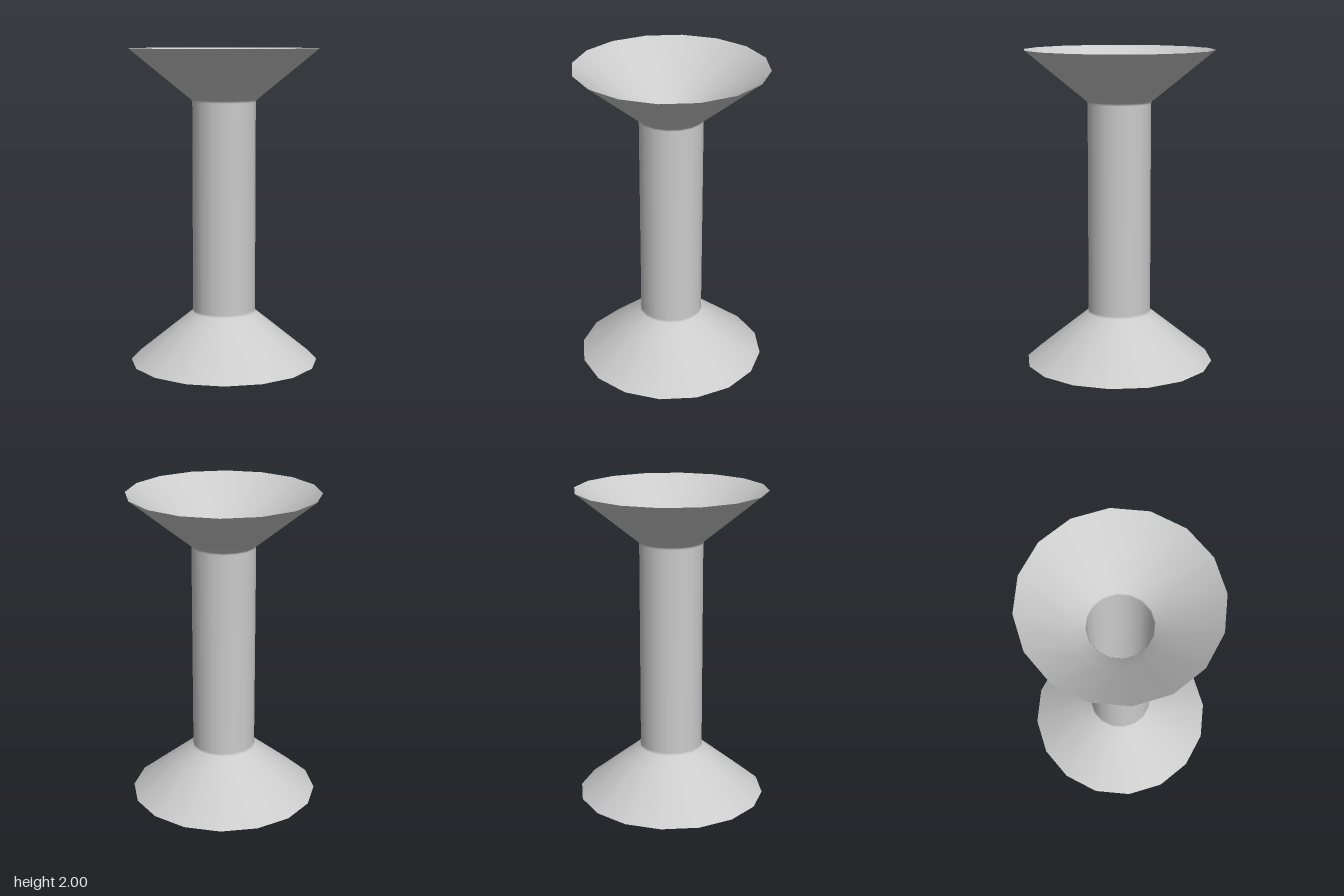
import * as THREE from 'three';

export function createModel() {
  const group = new THREE.Group();
  group.name = 'flaredTube';

  // Lower half of the profile: wide rim, cone, small softened neck
  const half = [[0.6, 0], [0.3, 0.245], [0.207, 0.32], [0.2, 0.335]];
  // Mirror it about mid-height for the upper flare
  const upper = half.map(([r, y]) => [r, 2 - y]).reverse();
  const profile = [...half, ...upper].map(([r, y]) => new THREE.Vector2(r, y));

  // Open, thin 16-sided shell, hollow from end to end
  const material = new THREE.MeshStandardMaterial({ color: 0xcccccc, side: THREE.DoubleSide });
  const shell = new THREE.Mesh(new THREE.LatheGeometry(profile, 16), material);
  shell.name = 'tubeWithFlaredEnds';
  group.add(shell);

  return group;
}
